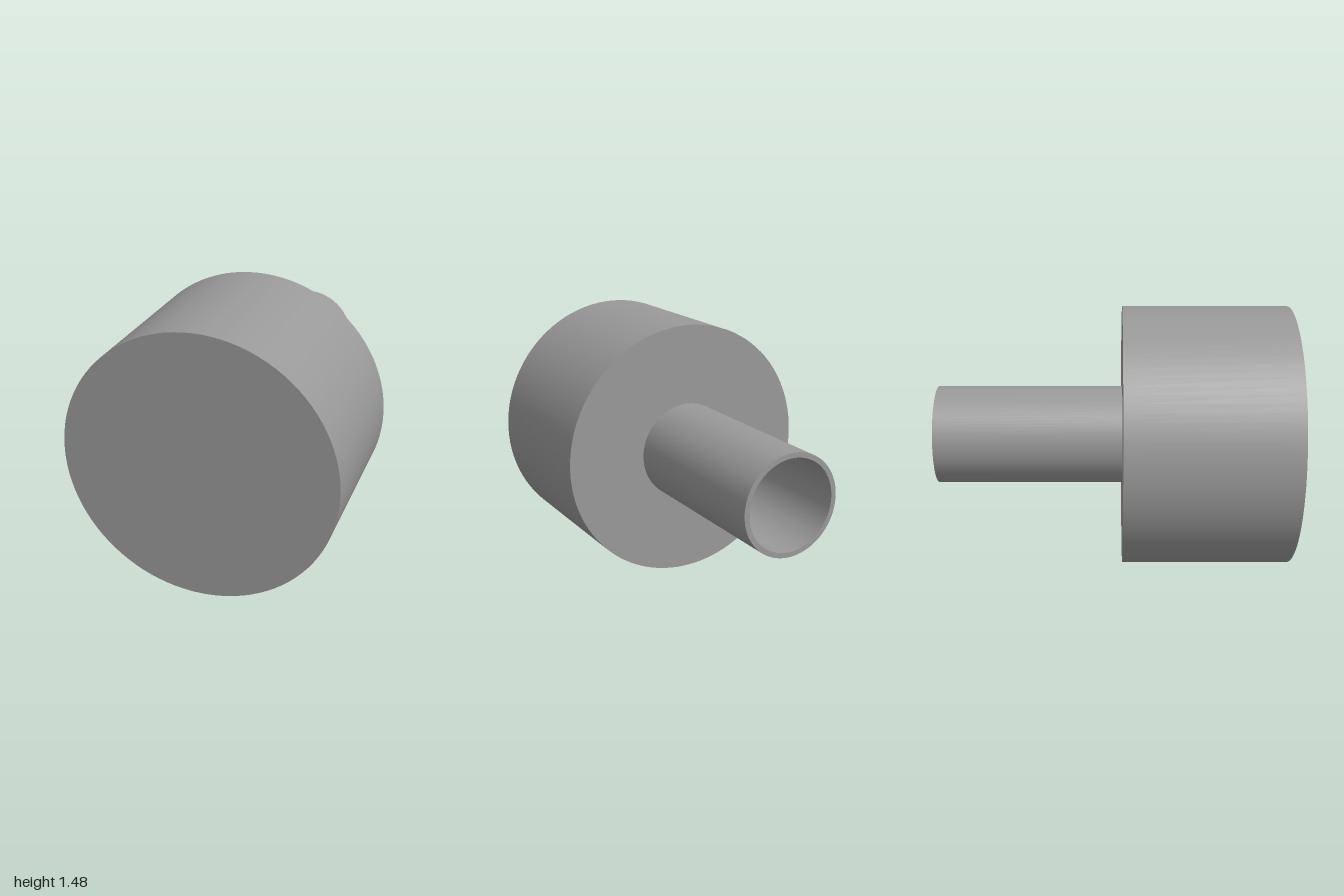
import * as THREE from 'three';
import { mergeGeometries } from 'three/addons/utils/BufferGeometryUtils.js';

const SEGMENTS = 96;
const DRUM_R = 0.738, TUBE_R = 0.28, BORE_R = 0.252;
const FRONT = 1, STEP = 0.057, BACK = -1;

// Turn a [radius, z] profile about the z axis; every profile edge stays sharp.
function turned(profile) {
  const bands = [];
  for (let i = 0; i < profile.length - 1; i++) {
    const pts = [profile[i], profile[i + 1]].map(([r, z]) => new THREE.Vector2(r, z));
    bands.push(new THREE.LatheGeometry(pts, SEGMENTS));
  }
  return mergeGeometries(bands).rotateX(Math.PI / 2);
}

export function createModel() {
  const model = new THREE.Group();
  model.name = 'steppedKnob';

  const grey = new THREE.MeshStandardMaterial({ color: 0x999999 });
  grey.name = 'grey';

  const add = (name, profile) => {
    const mesh = new THREE.Mesh(turned(profile), grey);
    mesh.name = name;
    mesh.position.y = DRUM_R;
    model.add(mesh);
  };

  // Solid drum, its back face open only where the tube joins
  add('drum', [[TUBE_R, STEP], [DRUM_R, STEP], [DRUM_R, FRONT], [0, FRONT]]);

  // Hollow tube: bore floor, bore wall, rim, outer wall
  add('tube', [[0, STEP], [BORE_R, STEP], [BORE_R, BACK], [TUBE_R, BACK], [TUBE_R, STEP]]);

  return model;
}
